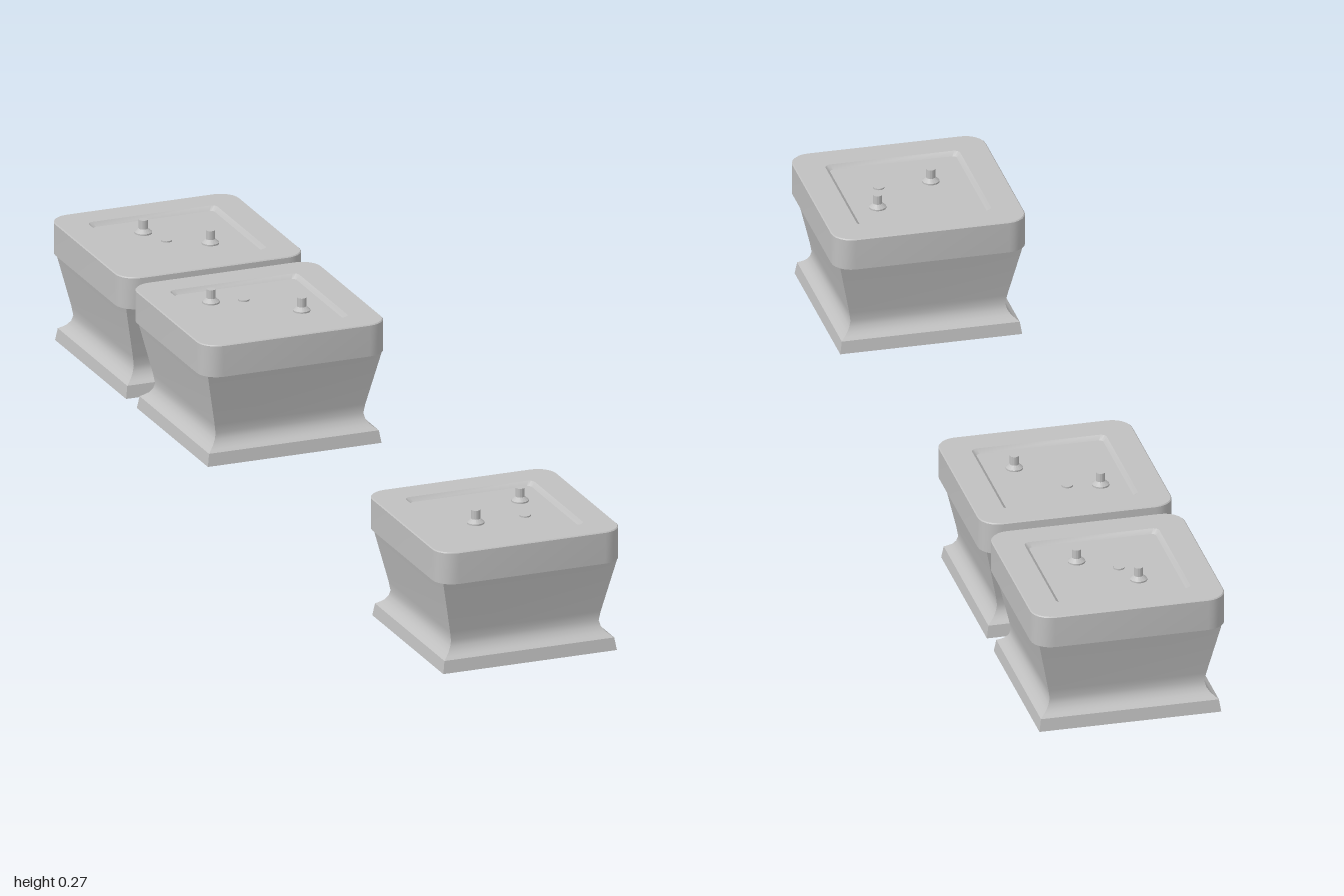
import * as THREE from 'three';
import { toCreasedNormals } from 'three/addons/utils/BufferGeometryUtils.js';

// One square cross-section with rounded corners (steps = 0 gives sharp corners)
function ring([half, y, radius = 0], steps) {
  const points = [];
  for (let corner = 0; corner < 4; corner++) {
    const mid = Math.PI / 4 + corner * Math.PI / 2;
    const cx = Math.sign(Math.cos(mid)) * (half - radius);
    const cz = Math.sign(Math.sin(mid)) * (half - radius);
    for (let s = 0; s <= steps; s++) {
      if (steps === 0) {
        points.push([cx, y, cz]);
      } else {
        const a = corner * Math.PI / 2 + (s / steps) * Math.PI / 2;
        points.push([cx + radius * Math.cos(a), y, cz + radius * Math.sin(a)]);
      }
    }
  }
  return points;
}

// Skin a list of cross-sections from bottom to top
function loft(sections, steps, crease) {
  const rings = sections.map((s) => ring(s, steps));
  const n = rings[0].length;
  const index = [];
  for (let i = 0; i < rings.length - 1; i++) {
    for (let j = 0; j < n; j++) {
      const a = i * n + j, b = i * n + (j + 1) % n;
      index.push(a, a + n, b, b, a + n, b + n);
    }
  }
  const geometry = new THREE.BufferGeometry();
  geometry.setAttribute('position', new THREE.Float32BufferAttribute(rings.flat(2), 3));
  geometry.setIndex(index);
  return toCreasedNormals(geometry, crease);
}

export function createModel() {
  const stone = new THREE.MeshStandardMaterial({ color: 0xc0c0c0, side: THREE.DoubleSide });
  stone.name = 'light grey';

  // Hollow, sharp-cornered body with a flared foot, open below
  const bodyGeometry = loft([
    [0.181, 0], [0.177, 0.025], [0.17, 0.03], [0.163, 0.036],
    [0.157, 0.045], [0.154, 0.056], [0.157, 0.075], [0.181, 0.185],
  ], 0, 0.7);

  // Rounded cap slab with a shallow recessed panel
  const capGeometry = loft([
    [0.0001, 0.185, 0.0001], [0.1925, 0.185, 0.04], [0.1925, 0.248, 0.04], [0.1905, 0.25, 0.038],
    [0.134, 0.25, 0.012], [0.126, 0.242, 0.008], [0.0001, 0.242, 0.0001],
  ], 6, 0.5);

  // Mounting pin with a tapered collar
  const pinGeometry = toCreasedNormals(new THREE.LatheGeometry([
    [0.017, 0.241], [0.017, 0.245], [0.009, 0.252], [0.009, 0.27], [0, 0.27],
  ].map(([x, y]) => new THREE.Vector2(x, y)), 16), 0.5);
  const buttonGeometry = new THREE.CylinderGeometry(0.011, 0.011, 0.004, 16);

  // Each pedestal: centre, two pin offsets, one button offset
  const pedestals = [
    { at: [-0.757, -0.362], pins: [[-0.073, 0.018], [0.062, -0.027]], button: [-0.01, 0.02] },
    { at: [-0.378, -0.188], pins: [[-0.087, 0.043], [0.073, -0.042]], button: [-0.05, -0.01] },
    { at: [0.757, 0.36], pins: [[-0.017, -0.09], [0.006, 0.06]], button: [0.048, -0.035] },
  ];

  const model = new THREE.Group();
  model.name = 'pedestals';
  for (const { at, pins, button } of pedestals) {
    const pedestal = new THREE.Group();
    pedestal.name = 'pedestal';
    pedestal.position.set(at[0], 0, at[1]);
    const add = (name, geometry, x = 0, y = 0, z = 0) => {
      const mesh = new THREE.Mesh(geometry, stone);
      mesh.name = name;
      mesh.position.set(x, y, z);
      pedestal.add(mesh);
      return mesh;
    };
    add('body', bodyGeometry).rotation.y = -0.43;
    add('cap', capGeometry).rotation.y = -0.43;
    for (const [x, z] of pins) add('pin', pinGeometry, x, 0, z);
    add('button', buttonGeometry, button[0], 0.243, button[1]);
    model.add(pedestal);
  }
  return model;
}
